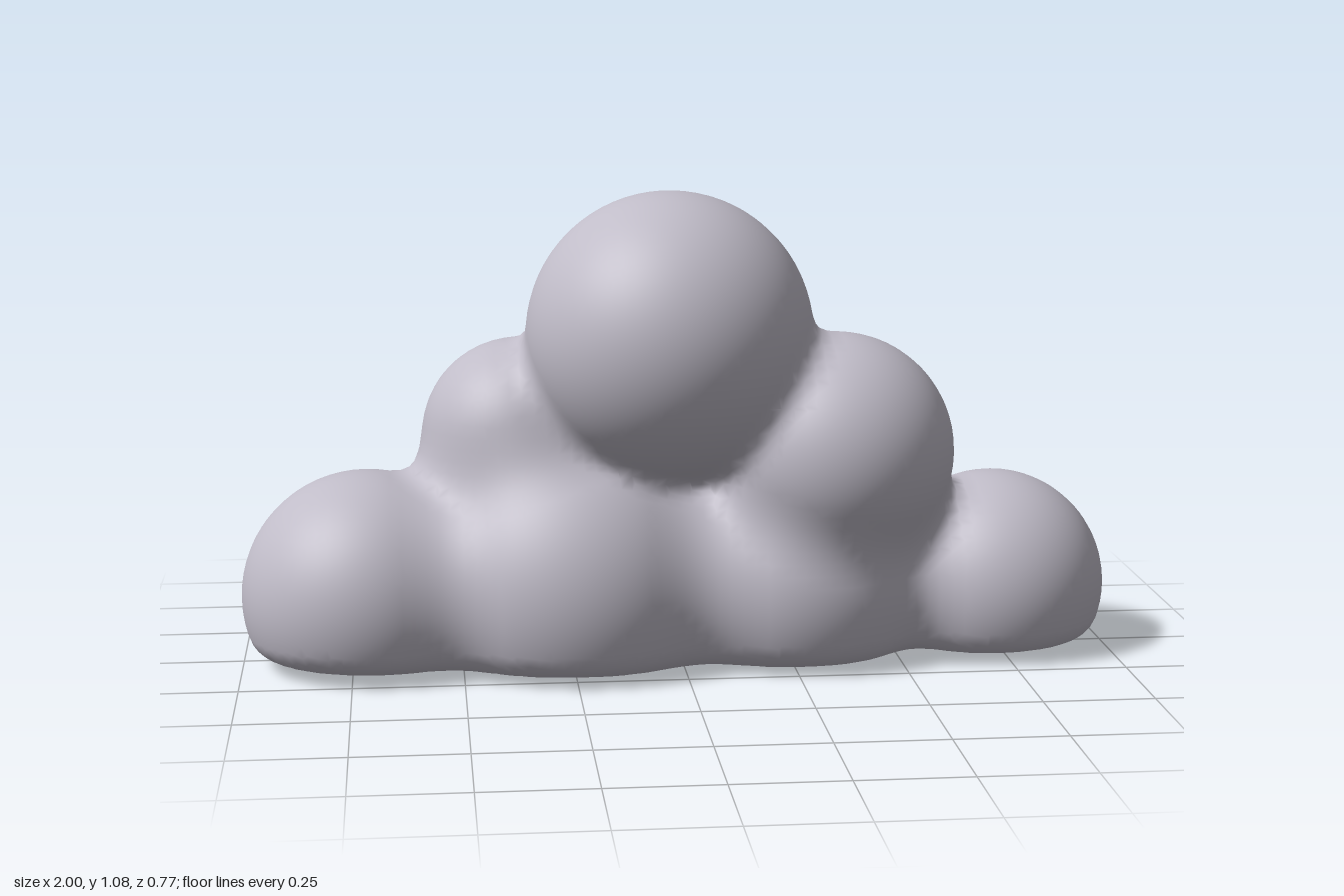
import * as THREE from 'three';

// Puffs: x, y, z, radius, blend width
const PUFFS = [
  [-0.25, 0.17, -0.02, 0.365, 0.16], // base, right of middle
  [0.27, 0.17, -0.015, 0.315, 0.16], // base, left of middle
  [-0.715, 0.16, 0.015, 0.285, 0.13], // right end
  [0.74, 0.15, -0.02, 0.26, 0.12], // left end
  [-0.36, 0.51, -0.06, 0.225, 0.1], // right shoulder
  [0.355, 0.485, 0.065, 0.27, 0.08], // left shoulder
  [-0.025, 0.755, 0.06, 0.325, 0.06], // crown
];

function smoothMin(a, b, k) {
  const h = Math.max(k - Math.abs(a - b), 0) / k;
  return Math.min(a, b) - h * h * k * 0.25;
}

// Signed distance to the blended puffs, cut by a slightly bowed underside
function field(x, y, z) {
  let d = 10;
  for (const [px, py, pz, r, k] of PUFFS) {
    d = smoothMin(d, Math.hypot(x - px, y - py, z - pz) - r, k);
  }
  const under = 0.003 + 0.02 * x * x + 0.2 * z * z - y;
  return -smoothMin(-d, -under, 0.05);
}

function gradient(p) {
  const e = 0.002;
  return new THREE.Vector3(
    field(p.x + e, p.y, p.z) - field(p.x - e, p.y, p.z),
    field(p.x, p.y + e, p.z) - field(p.x, p.y - e, p.z),
    field(p.x, p.y, p.z + e) - field(p.x, p.y, p.z - e)
  ).divideScalar(2 * e);
}

// Skin the field: one vertex per crossed cell, one quad per crossed grid edge
function skin(min, max, step) {
  const n = min.map((m, i) => Math.ceil((max[i] - m) / step) + 1);
  const stride = [1, n[0], n[0] * n[1]];
  const values = new Float32Array(n[0] * n[1] * n[2]);
  const eachCell = (visit) => {
    for (let k = 0; k < n[2]; k++)
      for (let j = 0; j < n[1]; j++)
        for (let i = 0; i < n[0]; i++) visit(i, j, k, i + j * stride[1] + k * stride[2]);
  };
  eachCell((i, j, k, id) => {
    values[id] = field(min[0] + i * step, min[1] + j * step, min[2] + k * step);
  });

  const positions = [], normals = [], indices = [];
  const vertexOf = new Int32Array(values.length).fill(-1);
  eachCell((i, j, k, id) => {
    if (i === n[0] - 1 || j === n[1] - 1 || k === n[2] - 1) return;
    let inside = 0;
    for (let c = 0; c < 8; c++) {
      const corner = id + (c & 1) + ((c >> 1) & 1) * stride[1] + (c >> 2) * stride[2];
      if (values[corner] < 0) inside++;
    }
    if (inside === 0 || inside === 8) return;
    // Pull the cell centre onto the surface
    const p = new THREE.Vector3(
      min[0] + (i + 0.5) * step, min[1] + (j + 0.5) * step, min[2] + (k + 0.5) * step);
    for (let s = 0; s < 4; s++) {
      const g = gradient(p);
      p.addScaledVector(g, -field(p.x, p.y, p.z) / Math.max(g.lengthSq(), 0.2));
    }
    vertexOf[id] = positions.length / 3;
    positions.push(p.x, p.y, p.z);
    normals.push(...gradient(p).normalize().toArray());
  });

  eachCell((i, j, k, id) => {
    const at = [i, j, k];
    for (let a = 0; a < 3; a++) {
      const b = (a + 1) % 3, c = (a + 2) % 3;
      if (at[a] === n[a] - 1 || at[b] === 0 || at[c] === 0) continue;
      const inner = values[id] < 0;
      if (inner === values[id + stride[a]] < 0) continue;
      const quad = [id - stride[b] - stride[c], id - stride[c], id, id - stride[b]]
        .map((cell) => vertexOf[cell]);
      if (!inner) quad.reverse();
      indices.push(quad[0], quad[1], quad[2], quad[0], quad[2], quad[3]);
    }
  });

  const geometry = new THREE.BufferGeometry();
  geometry.setAttribute('position', new THREE.Float32BufferAttribute(positions, 3));
  geometry.setAttribute('normal', new THREE.Float32BufferAttribute(normals, 3));
  geometry.setIndex(indices);
  return geometry;
}

export function createModel() {
  const group = new THREE.Group();
  group.name = 'cloud';
  const cloudGrey = new THREE.MeshStandardMaterial({ color: 0xc0bcc8 });
  cloudGrey.name = 'cloud grey';
  const body = new THREE.Mesh(skin([-1.08, -0.07, -0.48], [1.08, 1.16, 0.48], 0.027), cloudGrey);
  body.name = 'cloudBody';
  group.add(body);
  return group;
}
